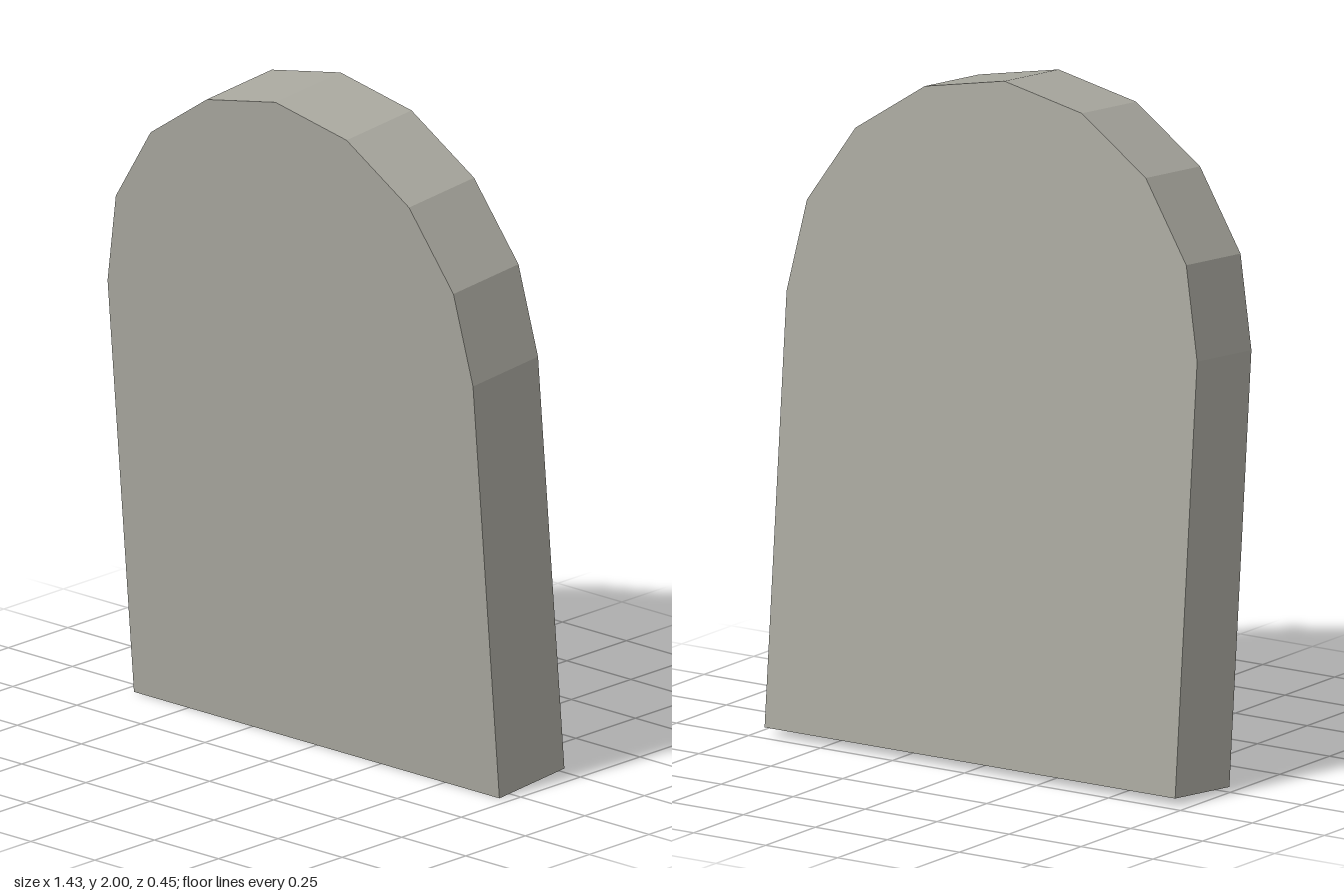
import * as THREE from 'three';

export function createModel() {
  const group = new THREE.Group();
  const stone = new THREE.MeshStandardMaterial({ color: 0xa9a89f, flatShading: true });
  stone.name = 'weathered grey stone';

  const halfWidth = 0.713, straight = 1.271, depth = 0.274, lean = THREE.MathUtils.degToRad(5);
  const arcSides = 8;

  // Upright outline with a faceted round top
  const points = [new THREE.Vector2(-halfWidth, 0), new THREE.Vector2(halfWidth, 0)];
  for (let i = 0; i <= arcSides; i++) {
    const a = (i / arcSides) * Math.PI;
    points.push(new THREE.Vector2(halfWidth * Math.cos(a), straight + halfWidth * Math.sin(a)));
  }
  const geometry = new THREE.ExtrudeGeometry(new THREE.Shape(points), { depth, bevelEnabled: false });

  // Slab leaning forward, resting on its front bottom edge
  const slab = new THREE.Mesh(geometry, stone);
  slab.name = 'leaningStoneSlab';
  slab.rotation.x = lean;
  const height = straight + halfWidth;
  slab.position.set(0, depth * Math.sin(lean), -(depth * Math.cos(lean) + height * Math.sin(lean)) / 2);
  group.add(slab);
  return group;
}
